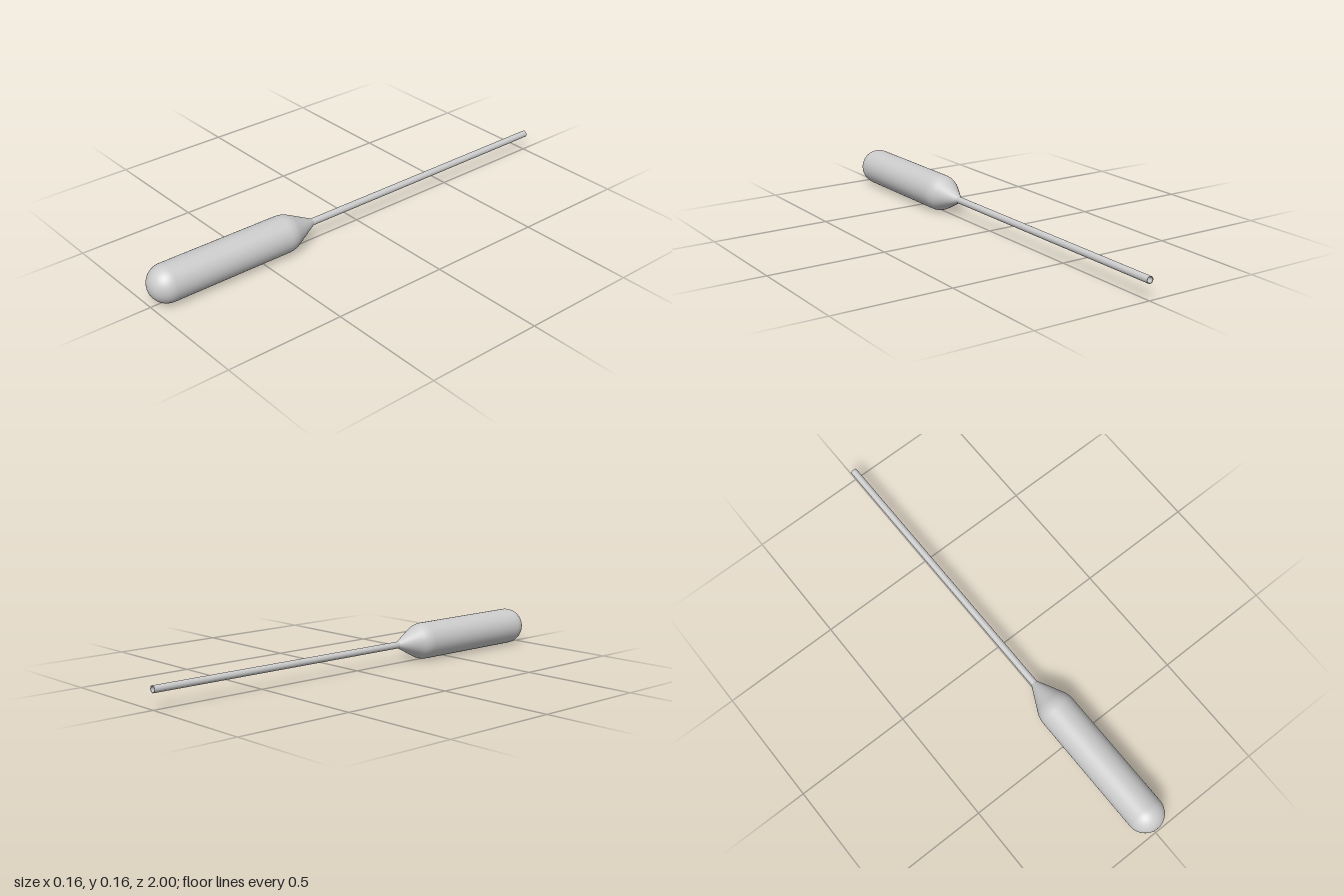
import * as THREE from 'three';

const R = 0.078;      // bulb radius
const STEM = 0.0145;  // stem radius
const WALL = 0.003;
const NECK = 0.235;   // z where the stem meets the bulb
const material = new THREE.MeshStandardMaterial({ color: 0xcccccc, side: THREE.DoubleSide });

// Revolve [radius, z] points around the z axis
function revolve(name, points) {
  const geometry = new THREE.LatheGeometry(points.map(([r, z]) => new THREE.Vector2(r, z)), 48);
  geometry.rotateX(Math.PI / 2);
  const mesh = new THREE.Mesh(geometry, material);
  mesh.name = name;
  return mesh;
}

// Bulb outline: cone, rounded shoulder, straight barrel, hemispherical end
function bulbProfile(inset) {
  const points = [[STEM - inset, NECK]];
  const shoulder = new THREE.QuadraticBezierCurve(
    new THREE.Vector2(0.066 - inset, 0.338),
    new THREE.Vector2(R - inset, 0.361),
    new THREE.Vector2(R - inset, 0.388)
  );
  for (const p of shoulder.getPoints(8)) points.push([p.x, p.y]);
  const r = R - inset;
  for (let i = 0; i <= 16; i++) {
    const a = (i / 16) * Math.PI / 2;
    points.push([i === 16 ? 0 : r * Math.cos(a), 1 - R + r * Math.sin(a)]);
  }
  return points;
}

export function createModel() {
  const group = new THREE.Group();
  group.name = 'dropper';
  const bore = STEM - WALL;

  group.add(
    revolve('bulb', bulbProfile(0)),
    revolve('bulbCavity', bulbProfile(WALL).reverse()),
    revolve('stem', [[STEM, -1], [STEM, NECK]]),
    revolve('stemBore', [[bore, NECK], [bore, -1]]),
    revolve('tipRim', [[bore, -1], [STEM, -1]])
  );

  group.position.y = R;
  return group;
}
